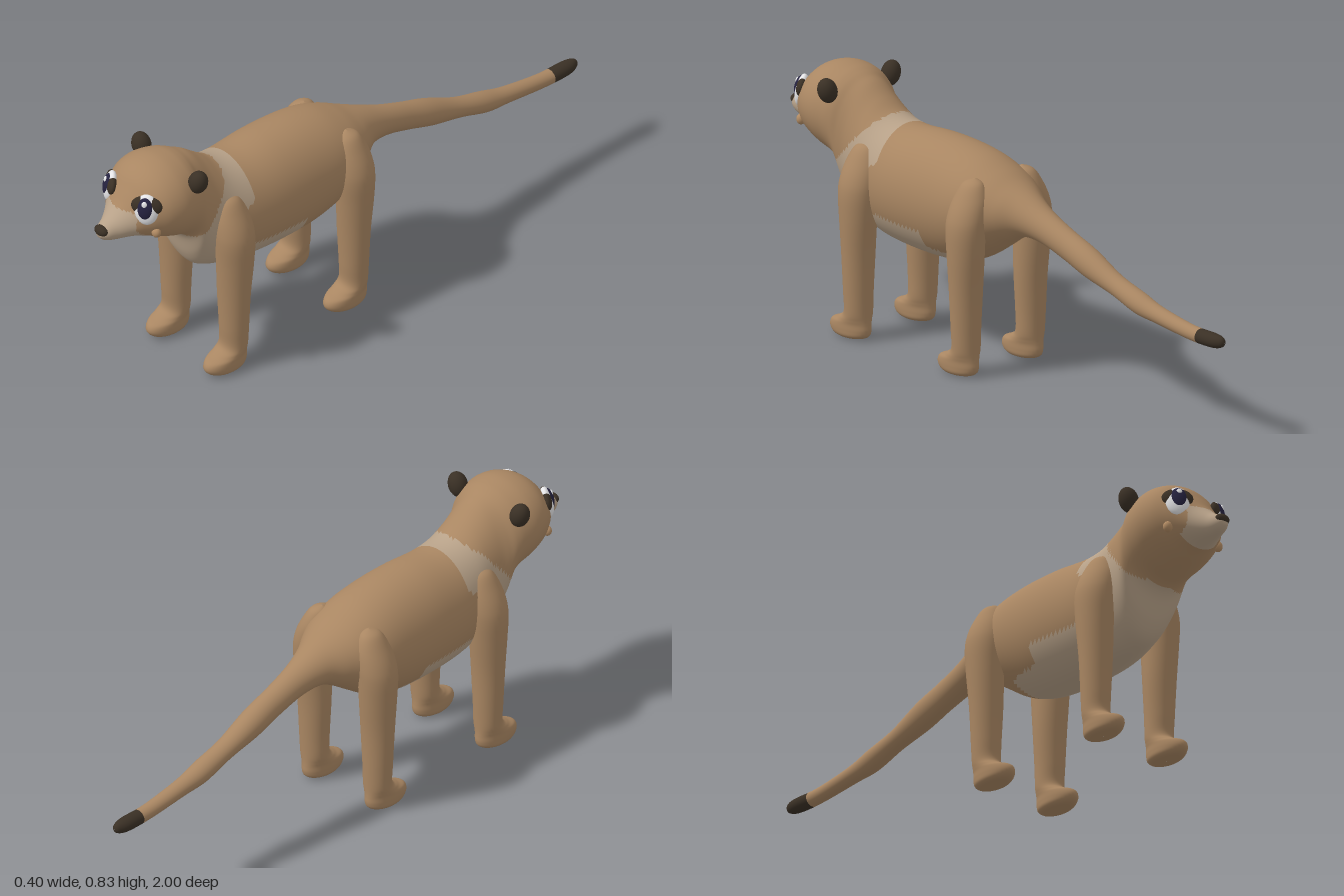
import * as THREE from 'three';

const mat = (name, color) => {
  const m = new THREE.MeshStandardMaterial({ color });
  m.name = name;
  return m;
};

// Smoothly interpolates rows of numbers, t from 0 to 1.
function sampleRows(rows, t) {
  const n = rows.length - 1;
  const f = Math.min(t * n, n - 1e-6);
  const i = Math.floor(f), u = f - i;
  const at = (k) => rows[Math.max(0, Math.min(n, k))];
  return rows[0].map((_, k) => {
    const a = at(i - 1)[k], b = at(i)[k], c = at(i + 1)[k], d = at(i + 2)[k];
    return b + 0.5 * u * (c - a + u * (2 * a - 5 * b + 4 * c - d + u * (3 * (b - c) + d - a)));
  });
}

// Skins elliptical rings; place(row, cos, sin) gives a point, pick(x, y, z) a material index.
function loft(rows, steps, sides, place, pick, materials) {
  const pos = [];
  for (let i = 0; i <= steps; i++) {
    const row = sampleRows(rows, i / steps);
    for (let j = 0; j < sides; j++) {
      const a = (j / sides) * Math.PI * 2;
      pos.push(...place(row, Math.cos(a), Math.sin(a)));
    }
  }
  const lists = materials.map(() => []);
  const tri = (...ids) => {
    const c = [0, 1, 2].map((k) => ids.reduce((s, v) => s + pos[v * 3 + k], 0) / 3);
    lists[pick(...c)].push(...ids);
  };
  for (let i = 0; i < steps; i++) {
    for (let j = 0; j < sides; j++) {
      const k = (j + 1) % sides;
      const a = i * sides + j, b = i * sides + k;
      tri(a, b, a + sides);
      tri(b, b + sides, a + sides);
    }
  }
  const g = new THREE.BufferGeometry();
  g.setAttribute('position', new THREE.Float32BufferAttribute(pos, 3));
  g.setIndex(lists.flat());
  let start = 0;
  lists.forEach((l, m) => {
    g.addGroup(start, l.length, m);
    start += l.length;
  });
  g.computeVertexNormals();
  return new THREE.Mesh(g, materials);
}

export function createModel() {
  const model = new THREE.Group();
  const fur = mat('tan fur', 0xa98662);
  const pale = mat('pale fur', 0xb7a188);
  const dark = mat('dark brown', 0x3a3025);
  const white = mat('eye white', 0xe6e6e8);
  const navy = mat('dark iris', 0x25223f);
  const cheek = mat('cheek tan', 0xb38c64);

  const add = (mesh, name, parent = model) => {
    mesh.name = name;
    parent.add(mesh);
    return mesh;
  };
  const blob = (name, m, p, r, parent) => {
    const s = add(new THREE.Mesh(new THREE.SphereGeometry(1, 28, 18), m), name, parent);
    s.position.set(...p);
    s.scale.set(...r);
    return s;
  };

  // Tail, trunk, neck and head as one skin: z, top, bottom, half width
  const spine = [
    [-1.0, 0.331, 0.329, 0.001], [-0.99, 0.346, 0.314, 0.014], [-0.95, 0.352, 0.305, 0.025],
    [-0.85, 0.354, 0.306, 0.025], [-0.7, 0.377, 0.322, 0.029], [-0.61, 0.403, 0.332, 0.036],
    [-0.5, 0.435, 0.366, 0.035], [-0.38, 0.49, 0.395, 0.043], [-0.28, 0.525, 0.428, 0.043],
    [-0.18, 0.562, 0.457, 0.051], [-0.1, 0.598, 0.462, 0.073], [-0.04, 0.625, 0.435, 0.11],
    [0.02, 0.655, 0.395, 0.142], [0.1, 0.685, 0.345, 0.16], [0.2, 0.702, 0.316, 0.165],
    [0.32, 0.706, 0.31, 0.165], [0.44, 0.7, 0.315, 0.158], [0.52, 0.715, 0.325, 0.146],
    [0.58, 0.755, 0.34, 0.133], [0.625, 0.79, 0.365, 0.13], [0.655, 0.806, 0.415, 0.136],
    [0.68, 0.818, 0.495, 0.144], [0.71, 0.827, 0.53, 0.151], [0.76, 0.832, 0.55, 0.156],
    [0.81, 0.822, 0.571, 0.145], [0.85, 0.797, 0.59, 0.12], [0.88, 0.76, 0.6, 0.093],
    [0.91, 0.72, 0.605, 0.066], [0.945, 0.689, 0.609, 0.043], [0.975, 0.672, 0.618, 0.029],
    [0.992, 0.658, 0.632, 0.015], [0.996, 0.646, 0.644, 0.001],
  ];
  const coat = (x, y, z) => {
    const ax = Math.abs(x);
    if (z < -0.89) return 2;                                               // tail tip
    if (z > 0.868 && y < 0.712 && ax < 0.072) return 1;                    // muzzle
    if (z > 0.7 || z < 0.12) return 0;
    const front = 0.53 + (0.71 - y) * 0.85;
    const back = y > 0.6 ? 0.46 : 0.46 + (0.6 - y) * 1.6;
    if (y > 0.5 && z > back && z < front) return 1;                        // collar
    if (z > 0.54 && y < 0.53 && ax < 0.085 + (y - 0.33) * 0.25) return 1;  // bib
    return z < 0.56 && y < (z < 0.25 ? 0.365 : 0.425) ? 1 : 0;             // belly
  };
  add(loft(spine, 210, 64,
    ([z, top, bottom, w], c, s) => [w * c, (top + bottom) / 2 + ((top - bottom) / 2) * s, z],
    coat, [fur, pale, dark]), 'body');

  // Legs with feet, from the top down: y, x, z, x radius, z radius (z from the leg line)
  const leg = [
    [0.64, 0.1, 0, 0.001, 0.001], [0.625, 0.107, 0, 0.03, 0.035], [0.58, 0.115, 0, 0.052, 0.058],
    [0.53, 0.13, 0, 0.06, 0.066], [0.48, 0.139, 0, 0.061, 0.066], [0.4, 0.139, 0, 0.06, 0.06],
    [0.28, 0.136, 0.002, 0.056, 0.051], [0.16, 0.136, 0.002, 0.05, 0.046],
    [0.09, 0.135, 0.003, 0.047, 0.045], [0.065, 0.135, 0.018, 0.046, 0.06],
    [0.05, 0.135, 0.034, 0.046, 0.077], [0.03, 0.135, 0.038, 0.046, 0.082],
    [0.012, 0.135, 0.036, 0.043, 0.073], [0.002, 0.135, 0.035, 0.03, 0.05],
    [0.0, 0.135, 0.035, 0.001, 0.001],
  ];
  for (const [end, z0] of [['front', 0.548], ['hind', 0.048]]) {
    for (const [side, sx] of [['Left', 1], ['Right', -1]]) {
      add(loft(leg, 84, 32,
        ([y, x, z, rx, rz], c, s) => [sx * x + rx * c, y, z0 + z + rz * s],
        () => 0, [fur]), end + side + 'Leg');
    }
  }

  // Face
  blob('nose', dark, [0, 0.655, 0.982], [0.026, 0.017, 0.018]);
  for (const [side, sx] of [['left', 1], ['right', -1]]) {
    const ear = blob(side + 'Ear', dark, [sx * 0.133, 0.776, 0.697], [0.032, 0.042, 0.031]);
    ear.rotation.z = -sx * 0.35;
    blob(side + 'CheekSpot', cheek, [sx * 0.107, 0.641, 0.848], [0.016, 0.018, 0.014]);

    // Eye layers, stacked along the direction the eye looks
    const eye = add(new THREE.Group(), side + 'Eye');
    eye.position.set(sx * 0.085, 0.727, 0.869);
    eye.lookAt(sx * 0.64, 0.9, 1.62);
    blob('eyePatch', dark, [0, 0.013, 0], [0.05, 0.034, 0.018], eye);
    blob('eyeWhite', white, [0, 0, 0], [0.039, 0.052, 0.021], eye);
    blob('iris', navy, [-sx * 0.002, 0.006, 0.008], [0.027, 0.039, 0.0175], eye);
    blob('glint', white, [-sx * 0.004, 0.025, 0.021], [0.009, 0.011, 0.005], eye);
  }
  return model;
}
